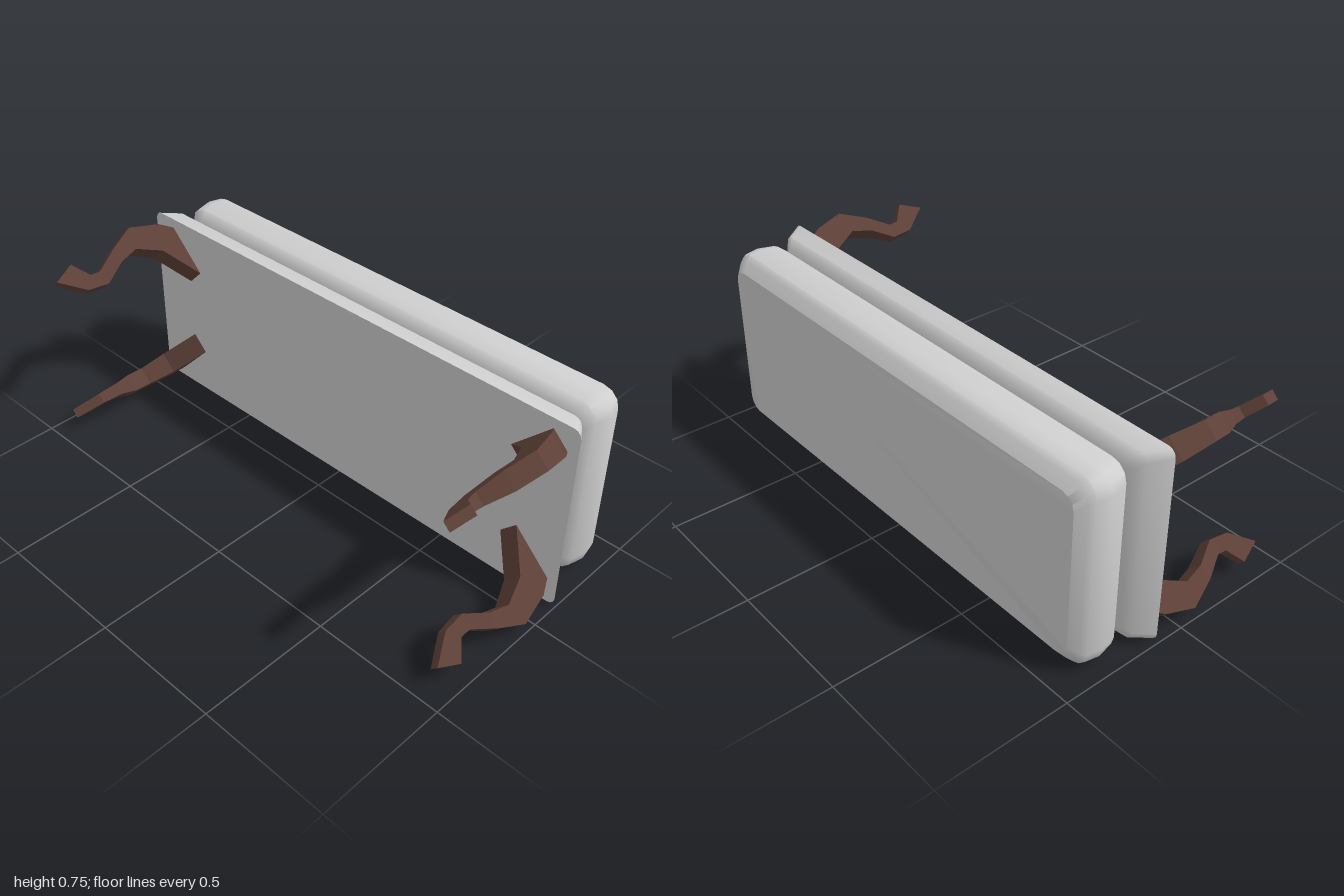
import * as THREE from 'three';
import { toCreasedNormals } from 'three/addons/utils/BufferGeometryUtils.js';

const MID_Y = 0.375;

// Skin a list of equal-length rings (counter-clockwise seen from the last ring) and cap both ends
function loft(rings) {
  const n = rings[0].length, last = (rings.length - 1) * n, index = [];
  for (let r = 0; r < rings.length - 1; r++) {
    for (let i = 0; i < n; i++) {
      const a = r * n + i, b = r * n + (i + 1) % n;
      index.push(a, b, b + n, a, b + n, a + n);
    }
  }
  for (let i = 1; i < n - 1; i++) {
    index.push(0, i + 1, i, last, last + i, last + i + 1);
  }
  const geometry = new THREE.BufferGeometry();
  geometry.setAttribute('position', new THREE.Float32BufferAttribute(rings.flat(2), 3));
  geometry.setIndex(index);
  return geometry;
}

// Rectangle with rounded corners at depth z
function roundedRing([z, halfX, halfY, radius]) {
  const ring = [];
  for (let corner = 0; corner < 4; corner++) {
    const sx = corner === 0 || corner === 3 ? 1 : -1, sy = corner < 2 ? 1 : -1;
    for (let k = 0; k <= 3; k++) {
      const angle = (corner + k / 3) * Math.PI / 2;
      ring.push([
        sx * (halfX - radius) + radius * Math.cos(angle),
        MID_Y - 0.002 + sy * (halfY - radius) + radius * Math.sin(angle),
        z,
      ]);
    }
  }
  return ring;
}

// depth z, half width, half height, corner radius
const cushionProfile = [
  [-0.428, 0.915, 0.305, 0.05],
  [-0.40, 0.942, 0.338, 0.06],
  [-0.38, 0.955, 0.355, 0.065],
  [-0.325, 0.965, 0.36, 0.07],
  [-0.26, 0.95, 0.355, 0.065],
  [-0.238, 0.93, 0.338, 0.06],
  [-0.218, 0.897, 0.31, 0.05],
];
const baseProfile = [
  [-0.218, 0.897, 0.31, 0.03],
  [-0.20, 0.925, 0.337, 0.03],
  [-0.18, 0.95, 0.356, 0.03],
  [-0.11, 0.994, 0.369, 0.03],
];

// outer z, outer y, inner z, inner y, half thickness; the last section is the sole
const legSections = [
  [-0.11, 0.675, -0.11, 0.53, 0.03],
  [-0.06, 0.70, -0.015, 0.63, 0.03],
  [0.06, 0.725, 0.08, 0.665, 0.025],
  [0.165, 0.69, 0.16, 0.65, 0.025],
  [0.255, 0.652, 0.25, 0.613, 0.017],
  [0.295, 0.654, 0.335, 0.62, 0.014],
  [0.345, 0.70, 0.43, 0.6725, 0.013],
];

// Curved leg lying in the diagonal plane of its corner
function legGeometry(sx, sy) {
  const rings = legSections.map(([oz, oy, iz, iy, h]) => {
    const point = (z, y, s) => [
      sx * (y + 0.25 + s * h),
      MID_Y + sy * (y - MID_Y - s * h),
      z,
    ];
    const ring = [point(oz, oy, 1), point(oz, oy, -1), point(iz, iy, -1), point(iz, iy, 1)];
    return sx * sy > 0 ? ring : ring.reverse();
  });
  const geometry = loft(rings).toNonIndexed();
  geometry.computeVertexNormals();
  return geometry;
}

export function createModel() {
  const fabric = new THREE.MeshStandardMaterial({ name: 'lightGreyFabric', color: 0xcfcfcf });
  const wood = new THREE.MeshStandardMaterial({ name: 'darkBrownWood', color: 0x5d4037 });
  wood.flatShading = true;

  const model = new THREE.Group();
  model.name = 'bench';
  const add = (name, geometry, material) => {
    const mesh = new THREE.Mesh(geometry, material);
    mesh.name = name;
    model.add(mesh);
  };

  // Upholstery: padded cushion on a bevelled base
  add('cushion', toCreasedNormals(loft(cushionProfile.map(roundedRing)), 0.65), fabric);
  add('seatBase', toCreasedNormals(loft(baseProfile.map(roundedRing)), 0.65), fabric);

  // Four legs, mirrored to each corner
  for (const sx of [1, -1]) {
    for (const sy of [1, -1]) {
      add((sy > 0 ? 'upper' : 'lower') + (sx > 0 ? 'Left' : 'Right') + 'Leg', legGeometry(sx, sy), wood);
    }
  }
  return model;
}
